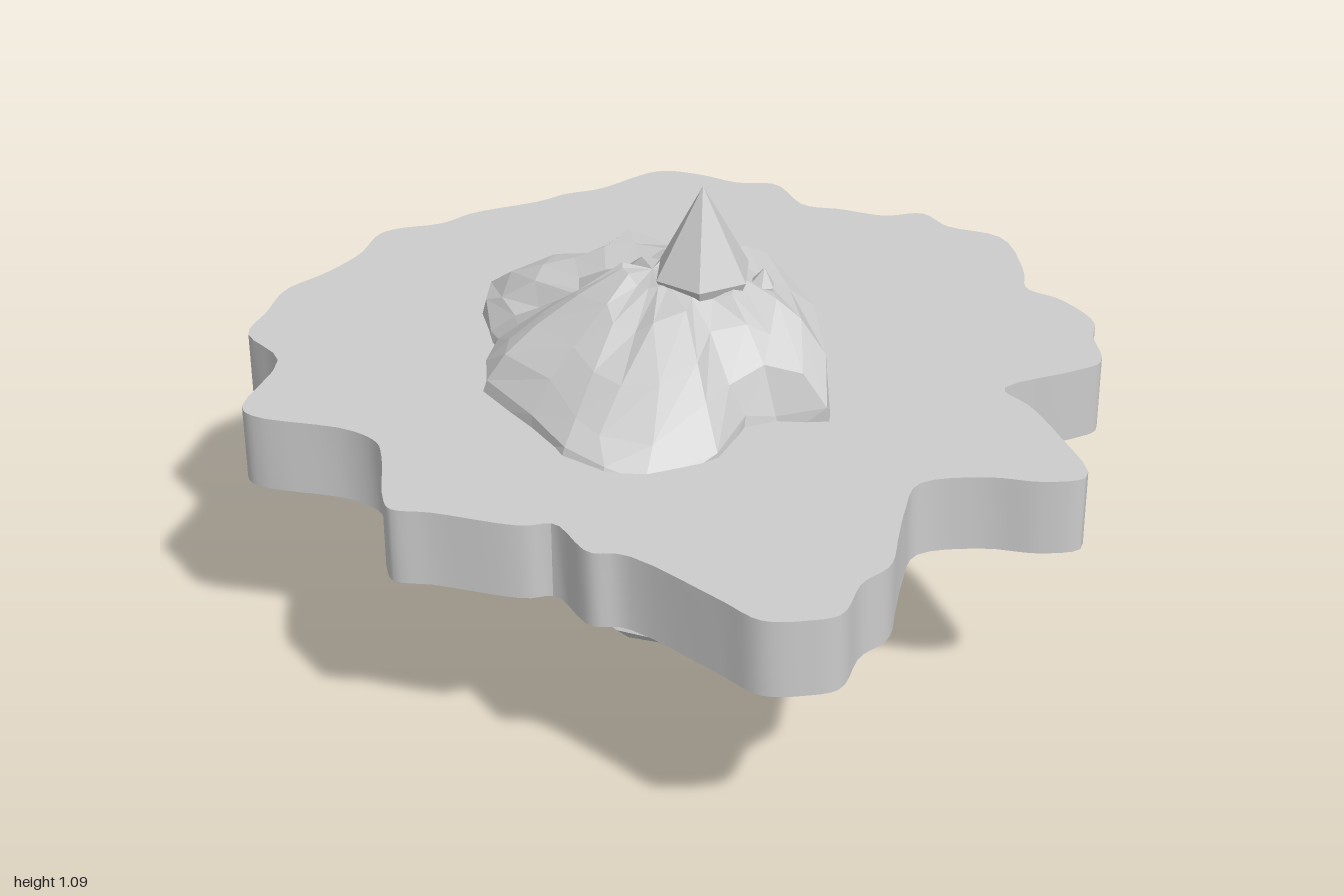
import * as THREE from 'three';
import { toCreasedNormals } from 'three/addons/utils/BufferGeometryUtils.js';

// Outlines as x, z pairs, clockwise seen from above
const SLAB = [
  -.34, -.98, -.23, -.96, -.14, -.98, .04, -.97, .11, -.98, .20, -.97, .38, -1, .46, -.94, .53, -.85, .61, -.80,
  .62, -.66, .69, -.60, .77, -.52, .86, -.49, .88, -.40, .965, -.29, .92, -.11, .88, -.03, .92, .05, .93, .18,
  .89, .24, .84, .35, .77, .36, .58, .36, .59, .45, .58, .58, .54, .76, .45, .74, .35, .67, .21, .63,
  .13, .71, .07, .79, 0, .88, -.08, .91, -.17, .99, -.24, .98, -.32, .94, -.36, .84, -.46, .61, -.52, .57,
  -.54, .44, -.60, .42, -.75, .29, -.82, .24, -.82, .20, -.76, .03, -.75, -.03, -.79, -.11, -.95, -.25, -.96, -.30,
  -.82, -.47, -.84, -.62, -.77, -.70, -.69, -.79, -.58, -.83, -.47, -.89, -.39, -.97,
];
const ROCK = [
  .11, -.63, .20, -.53, .26, -.45, .29, -.26, .28, -.10, .26, .06, .22, .21, .17, .32, .07, .28, -.02, .27,
  -.11, .35, -.29, .38, -.38, .31, -.43, .20, -.43, .07, -.47, -.14, -.42, -.21, -.36, -.30, -.36, -.38,
  -.33, -.48, -.25, -.58, -.13, -.61, -.02, -.60,
];
const BOULDER = [
  .05, -.39, .15, -.28, .24, -.18, .33, -.05, .29, .08, .20, .17, .08, .23, -.05, .26, -.17, .20, -.25, .10,
  -.28, -.02, -.23, -.14, -.14, -.22, -.05, -.30,
];

const pairs = (a) => Array.from({ length: a.length / 2 }, (_, i) => [a[2 * i], a[2 * i + 1]]);
const smooth = THREE.MathUtils.smoothstep;

function seeded(seed) {
  return () => {
    seed = (seed * 16807) % 2147483647;
    return seed / 2147483647 - 0.5;
  };
}

function faceted(geometry) {
  const flat = geometry.index ? geometry.toNonIndexed() : geometry;
  flat.computeVertexNormals();
  return flat;
}

// Skin over rings listed from bottom to top, closed by a fan at both ends
function loft(rings) {
  const out = [];
  const tri = (...points) => points.forEach((p) => out.push(p.x, p.y, p.z));
  const centre = (ring) => ring.reduce((s, p) => s.add(p), new THREE.Vector3()).divideScalar(ring.length);
  const n = rings[0].length;
  const top = rings[rings.length - 1];
  const low = centre(rings[0]);
  const high = centre(top);
  for (let i = 0; i < n; i++) {
    const j = (i + 1) % n;
    for (let k = 0; k + 1 < rings.length; k++) {
      const a = rings[k], b = rings[k + 1];
      tri(a[i], b[i], a[j]);
      tri(a[j], b[i], b[j]);
    }
    tri(low, rings[0][i], rings[0][j]);
    tri(high, top[j], top[i]);
  }
  const geometry = new THREE.BufferGeometry();
  geometry.setAttribute('position', new THREE.Float32BufferAttribute(out, 3));
  return faceted(geometry);
}

function rockGeometry() {
  const rnd = seeded(71);
  const outline = pairs(ROCK);
  const ring = (scale, shift, noise, height) => outline.map(([ox, oz]) => {
    const spread = noise * Math.min(1, scale + 0.2);
    const x = -0.05 + (ox + 0.05) * scale + shift + rnd() * spread;
    const z = -0.1 + (oz + 0.1) * scale + rnd() * spread;
    return new THREE.Vector3(x, height(x, z, ox, oz) + rnd() * noise, z);
  });
  // Underside is deepest toward the front, shallower but fuller at the back
  const below = [[0.15, 1], [0.35, 1], [0.55, 0.9], [0.74, 0.65], [0.91, 0.35], [1.02, 0]].map(([s, p]) =>
    ring(s, 0.04, p ? 0.045 : 0, (x, z, ox, oz) =>
      0.48 - (0.21 + 0.06 * smooth(z, -0.3, 0)) * Math.pow(p, oz < -0.25 ? 0.7 : 1.1)));
  // Top has a low back ridge and a high front that slopes down to the right and forward
  const above = [[1, 0], [0.97, 0.3], [0.85, 0.6], [0.68, 0.84], [0.45, 0.96], [0.2, 1]].map(([s, p]) =>
    ring(s, 0, p ? 0.035 : 0, (x, z, ox, oz) => {
      const peak = 0.77 + 0.115 * smooth(z, -0.32, -0.1)
        - 0.42 * Math.max(0, -x - 0.12) * smooth(z, -0.4, -0.1) - 0.35 * Math.max(0, z - 0.1);
      const steep = oz < -0.4 ? 0.75 : ox > 0.2 ? 0.45 : ox < -0.4 ? 0.65 : 1;
      return 0.6 + (peak - 0.6) * Math.pow(p, steep);
    }));
  return loft([...below, ...above]);
}

function boulderGeometry() {
  const rnd = seeded(19);
  const layers = [[0.25, 0.008], [0.58, 0.028], [0.85, 0.06], [1, 0.105], [0.9, 0.15], [0.74, 0.18], [0.4, 0.2]];
  return loft(layers.map(([s, y]) => pairs(BOULDER).map(([x, z]) => {
    const noise = s === 1 ? 0 : 0.03;
    return new THREE.Vector3(
      x * s + rnd() * noise,
      Math.max(0, y + rnd() * noise * 0.6 + 0.08 * x * s * smooth(y, 0.04, 0.1)),
      z * s + rnd() * noise);
  })));
}

// Wavy plate, smooth around its edge and sharp at the rims
function slabGeometry() {
  const curve = new THREE.CatmullRomCurve3(
    pairs(SLAB).map(([x, z]) => new THREE.Vector3(x, -z, 0)), true, 'centripetal');
  const shape = new THREE.Shape(curve.getPoints(236).slice(0, -1).map((p) => new THREE.Vector2(p.x, p.y)));
  const geometry = new THREE.ExtrudeGeometry(shape, { depth: 0.177, bevelEnabled: false });
  geometry.rotateX(-Math.PI / 2).translate(0, 0.463, 0);
  return toCreasedNormals(geometry, 0.6);
}

// Six-sided crystal: profile of radius, height pairs
function crystalGeometry(profile) {
  const points = profile.map(([r, y]) => new THREE.Vector2(r, y));
  return faceted(new THREE.LatheGeometry(points, 6).rotateY(Math.PI / 6));
}

export function createModel() {
  const group = new THREE.Group();
  const stone = new THREE.MeshStandardMaterial({ color: 0xcccccc });
  stone.name = 'grey stone';
  const add = (name, geometry, x = 0, y = 0, z = 0) => {
    const mesh = new THREE.Mesh(geometry, stone);
    mesh.name = name;
    mesh.position.set(x, y, z);
    group.add(mesh);
    return mesh;
  };

  add('slab', slabGeometry());
  add('rock', rockGeometry());
  add('baseBoulder', boulderGeometry());

  // Stem joining the boulder to the rock
  add('neck', faceted(new THREE.CylinderGeometry(0.16, 0.12, 0.2, 8)), 0.03, 0.22, 0);

  // Crystals on the summit
  add('peakCrystal', crystalGeometry([[0, 0], [0.085, 0], [0.113, 0.065], [0, 0.27]]), 0.022, 0.82, -0.015);
  const shard = add('smallCrystal', crystalGeometry([[0, 0], [0.025, 0], [0.03, 0.05], [0, 0.09]]), 0.125, 0.81, 0.055);
  shard.rotation.z = -0.15;

  // Crystal leaning out from beneath the rock
  const leaning = add('leaningCrystal', crystalGeometry([[0, 0], [0.07, 0], [0.07, 0.24], [0.035, 0.3], [0, 0.31]]),
    0.16, 0.16, -0.07);
  leaning.rotation.z = -0.8;
  leaning.scale.set(0.75, 1, 1.15);

  return group;
}
